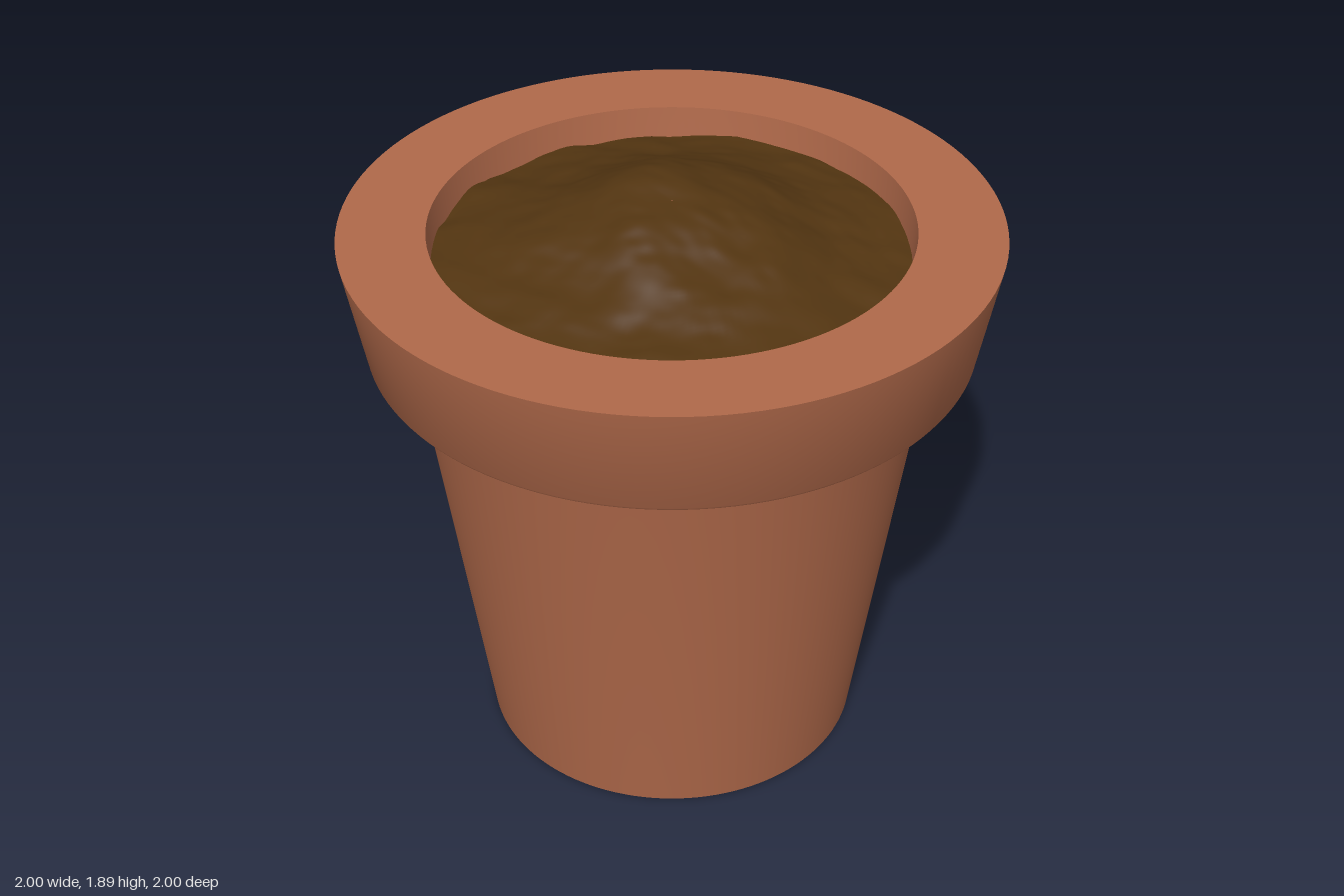
import * as THREE from 'three';
import { mergeVertices, toCreasedNormals } from 'three/addons/utils/BufferGeometryUtils.js';

// Smooth value noise on a hashed lattice, in the range -1..1
function hash(i, j) {
  const s = Math.sin(i * 127.1 + j * 311.7) * 43758.5453;
  return (s - Math.floor(s)) * 2 - 1;
}
function noise(x, y) {
  const i = Math.floor(x), j = Math.floor(y);
  const ease = t => t * t * (3 - 2 * t);
  const u = ease(x - i), v = ease(y - j);
  const a = THREE.MathUtils.lerp(hash(i, j), hash(i + 1, j), u);
  const b = THREE.MathUtils.lerp(hash(i, j + 1), hash(i + 1, j + 1), u);
  return THREE.MathUtils.lerp(a, b, v);
}

// Height of the soil: a low mound with lumps and fine clods
function soilHeight(x, z) {
  const bump = (cx, cz, rx, rz, h) => h * Math.exp(-(((x - cx) / rx) ** 2) - ((z - cz) / rz) ** 2);
  let y = 1.675 + bump(-0.04, -0.05, 0.43, 0.43, 0.212);
  y += bump(0.13, 0.29, 0.2, 0.09, 0.022) + bump(0.38, 0, 0.09, 0.2, 0.02);
  y += bump(-0.13, -0.1, 0.12, 0.12, 0.012);
  let amp = 0.014, freq = 5;
  for (let o = 0; o < 3; o++) {
    y += amp * noise(x * freq * 0.85 + z * 1.5 + o * 17, z * freq * 1.15 - x * 1.5 + o * 31);
    amp *= 0.42;
    freq *= 2.1;
  }
  return y;
}

function createPot() {
  // Cove under the rim
  const cove = new THREE.QuadraticBezierCurve(
    new THREE.Vector2(0.795, 1.37), new THREE.Vector2(0.803, 1.425), new THREE.Vector2(0.865, 1.427));
  const profile = [
    new THREE.Vector2(0, 0),
    new THREE.Vector2(0.607, 0),
    ...cove.getPoints(10),
    ...[
      [0.93, 1.427], [0.936, 1.436], [1, 1.79], // rim outside
      [0.733, 1.79], [0.715, 1.62], [0.52, 0.12], [0, 0.12], // inner wall and floor
    ].map(([r, y]) => new THREE.Vector2(r, y)),
  ];
  const geometry = toCreasedNormals(new THREE.LatheGeometry(profile, 128), 0.5);
  const pot = new THREE.Mesh(geometry, new THREE.MeshStandardMaterial({ color: 0xb0694a }));
  pot.name = 'pot';
  return pot;
}

function createSoil() {
  // Disc of rings laid flat, then lifted into a lumpy mound
  let geometry = new THREE.RingGeometry(0.002, 0.729, 160, 64);
  geometry.rotateX(-Math.PI / 2);
  geometry.deleteAttribute('uv');
  geometry.deleteAttribute('normal');
  geometry = mergeVertices(geometry, 1e-5);
  const p = geometry.attributes.position;
  for (let i = 0; i < p.count; i++) p.setY(i, soilHeight(p.getX(i), p.getZ(i)));
  geometry.computeVertexNormals();
  const soil = new THREE.Mesh(geometry, new THREE.MeshStandardMaterial({ color: 0x533511, side: THREE.DoubleSide }));
  soil.name = 'soil';
  return soil;
}

export function createModel() {
  const model = new THREE.Group();
  model.name = 'flowerPot';
  model.add(createPot(), createSoil());
  return model;
}
